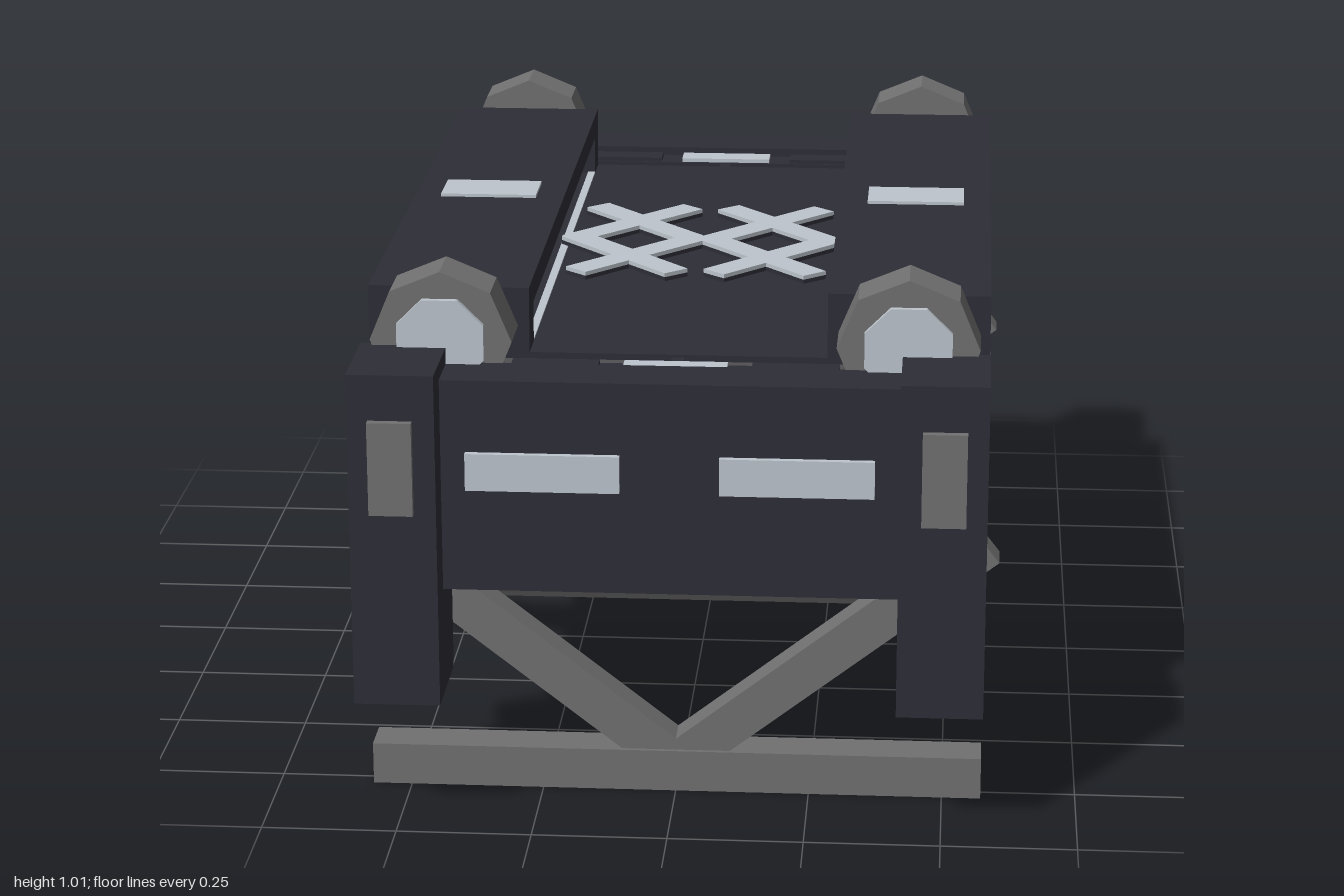
import * as THREE from 'three';

const mat = (name, color) => {
  const m = new THREE.MeshStandardMaterial({ color, flatShading: true });
  m.name = name;
  return m;
};

export function createModel() {
  const root = new THREE.Group();
  root.name = 'platform';
  const dark = mat('dark navy', 0x2d2d37);
  const body = mat('charcoal grey', 0x505052);
  const grey = mat('mid grey', 0x717171);
  const light = mat('pale blue grey', 0xbdc5cd);

  const add = (name, geometry, material, parent = root) => {
    const m = new THREE.Mesh(geometry, material);
    m.name = name;
    parent.add(m);
    return m;
  };
  // box given by its minimum and maximum on each axis
  const box = (name, x0, x1, y0, y1, z0, z1, material, parent) => {
    const m = add(name, new THREE.BoxGeometry(Math.abs(x1 - x0), y1 - y0, Math.abs(z1 - z0)), material, parent);
    m.position.set((x0 + x1) / 2, (y0 + y1) / 2, (z0 + z1) / 2);
    return m;
  };

  // main slab and the dark deck over it
  box('hull', -0.574, 0.574, 0.62, 0.82, -0.805, 0.805, body);
  box('deck', -0.57, 0.57, 0.82, 0.832, -0.69, 0.69, dark);

  // raised side rails, open below the top slab
  for (const s of [-1, 1]) {
    const rail = new THREE.Group();
    rail.name = 'sideRail';
    root.add(rail);
    box('railTop', s * 0.275, s * 0.573, 0.908, 0.955, -0.69, 0.69, dark, rail);
    for (const e of [-1, 1])
      box('railLeg', s * 0.275, s * 0.573, 0.82, 0.908, e * 0.618, e * 0.69, dark, rail);
    box('railPlate', s * 0.33, s * 0.52, 0.954, 0.961, -0.055, 0.055, light, rail);
    box('railTrim', s * 0.275, s * 0.29, 0.831, 0.835, -0.618, 0.618, light, rail);
  }

  // hexagonal crossbar under the hull
  const bar = add('crossbar', new THREE.CylinderGeometry(0.067, 0.067, 1.146, 6), grey);
  bar.rotation.z = Math.PI / 2;
  bar.position.y = 0.158;

  // floating lattice of two crossed diamonds
  const lattice = new THREE.Group();
  lattice.name = 'deckLattice';
  root.add(lattice);
  for (const cx of [-0.135, 0.135])
    for (const sx of [-1, 1])
      for (const sz of [-1, 1]) {
        const dx = -sx * 0.2, dz = sz * 0.225;
        const len = Math.hypot(dx, dz) + 0.04;
        const layers = [['latticeBase', dark, 0.008, 0.851], ['latticeFace', light, 0.008, 0.859]];
        for (const [name, material, h, y] of layers) {
          const m = add(name, new THREE.BoxGeometry(len, h, 0.056), material, lattice);
          m.position.set(cx + sx * 0.115 + dx / 2, y, dz / 2);
          m.rotation.y = -Math.atan2(dz, dx);
        }
      }

  // both ends are alike; the second is turned by half a circle
  for (const turn of [0, Math.PI]) {
    const end = new THREE.Group();
    end.name = turn ? 'backEnd' : 'frontEnd';
    end.rotation.y = turn;
    root.add(end);

    box('endPanel', -0.415, 0.415, 0.445, 0.845, 0.8, 0.912, dark, end);
    box('baseBar', -0.573, 0.573, 0, 0.08, 0.7, 0.78, grey, end);

    // recessed strip between deck and end panel
    box('sillStrip', -0.3, 0.3, 0.82, 0.828, 0.735, 0.8, dark, end);
    box('sillGap', -0.012, 0.012, 0.82, 0.827, 0.69, 0.735, dark, end);
    box('sillLight', -0.095, 0.095, 0.828, 0.836, 0.74, 0.79, light, end);

    for (const s of [-1, 1]) {
      box('cornerPost', s * 0.415, s * 0.573, 0.245, 0.875, 0.79, 0.985, dark, end);
      box('postPlate', s * 0.455, s * 0.535, 0.615, 0.79, 0.984, 1, grey, end);
      box('panelWindow', s * 0.09, s * 0.37, 0.64, 0.71, 0.911, 0.924, light, end);
      box('sillPlate', s * 0.14, s * 0.3, 0.828, 0.836, 0.74, 0.79, dark, end);

      // slanted brace rising outward from the base bar
      const brace = add('brace', new THREE.BoxGeometry(0.72, 0.08, 0.066), grey, end);
      brace.position.set(s * 0.29, 0.278, 0.739);
      brace.rotation.z = s * Math.atan2(0.616, 0.788);

      // eight-sided lamp with a pale lens
      const lamp = new THREE.Group();
      lamp.name = 'lamp';
      lamp.position.set(s * 0.425, 0.885, 0.75);
      end.add(lamp);
      const shell = add('lampShell', new THREE.CylinderGeometry(0.13, 0.13, 0.105, 8), grey, lamp);
      shell.rotation.x = Math.PI / 2;
      const lens = add('lampLens', new THREE.CylinderGeometry(0.086, 0.086, 0.02, 8).rotateY(Math.PI / 8), light, lamp);
      lens.rotation.x = Math.PI / 2;
      lens.position.z = 0.054;
    }
  }
  return root;
}
